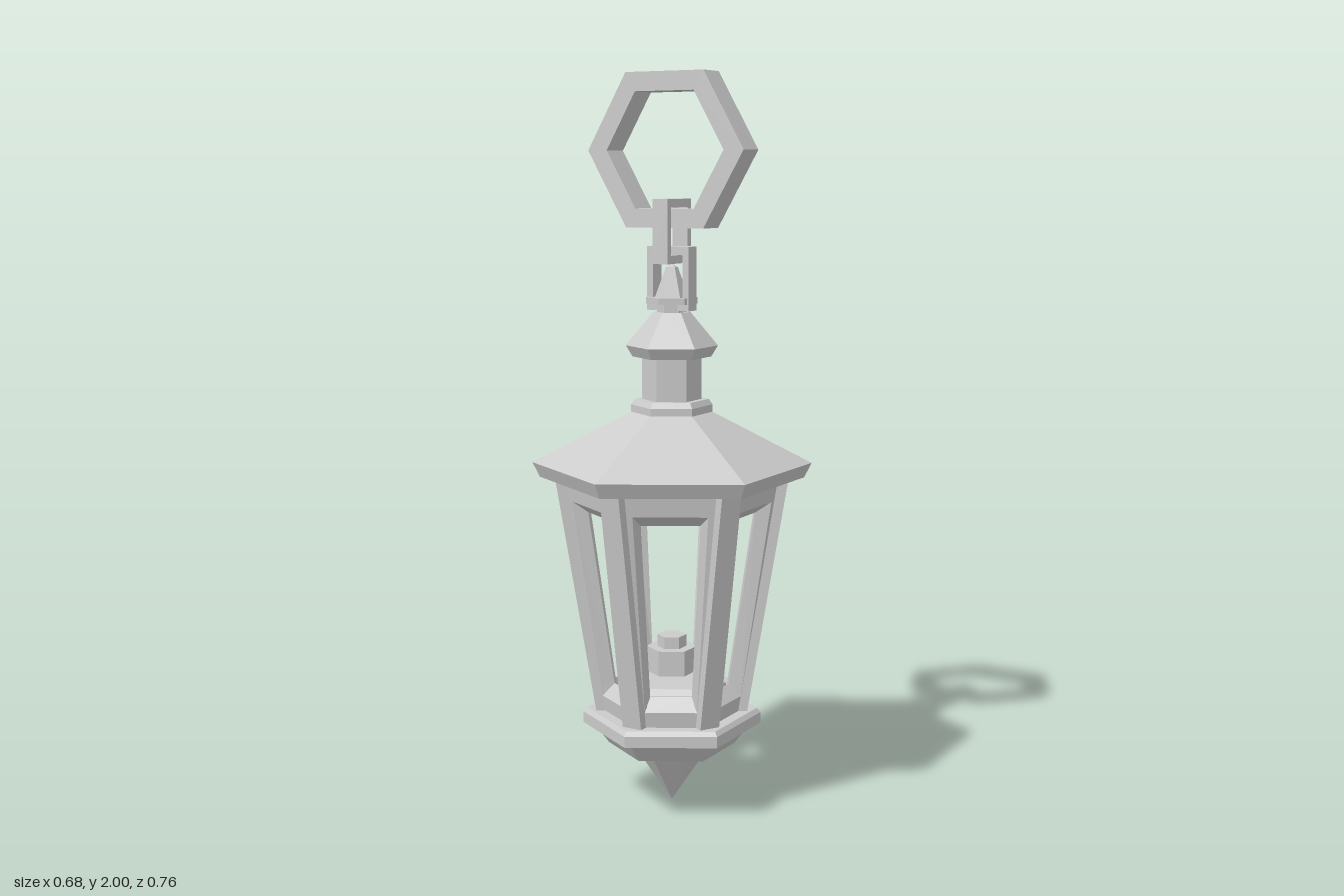
import * as THREE from 'three';

const material = new THREE.MeshStandardMaterial({ color: 0xcccccc, flatShading: true, side: THREE.DoubleSide });

function add(parent, name, geometry) {
  const mesh = new THREE.Mesh(geometry, material);
  mesh.name = name;
  parent.add(mesh);
  return mesh;
}

// Six-sided turned part from [radius, y] pairs listed bottom to top, a corner facing +z
const hexTurned = (pairs) => new THREE.LatheGeometry(pairs.map(([r, y]) => new THREE.Vector2(r, y)), 6);

// Flat loop of given thickness, cut from an outer and an inner outline
function loop(outer, inner, depth) {
  const shape = new THREE.Shape(outer);
  shape.holes.push(new THREE.Path(inner));
  return new THREE.ExtrudeGeometry(shape, { depth, bevelEnabled: false }).translate(0, 0, -depth / 2);
}

const hexagon = (r) => Array.from({ length: 6 }, (_, i) =>
  new THREE.Vector2(r * Math.cos(i * Math.PI / 3), r * Math.sin(i * Math.PI / 3)));

const rectangle = (w, h) => [[-w, -h], [w, -h], [w, h], [-w, h]].map(([x, y]) => new THREE.Vector2(x, y));

// Cage tapers: corner radius at a given height
const Y0 = 0.26, Y1 = 0.925;
const cageRadius = (y) => THREE.MathUtils.mapLinear(y, Y0, Y1, 0.2, 0.305);

// One cage side: nested four-corner loops give the face, the bevelled opening and the back
function windowPanel() {
  const ring = (y0, y1, w0, w1, depth) => [[-w0, y0], [w0, y0], [w1, y1], [-w1, y1]]
    .map(([x, y]) => [x, y, cageRadius(y) * 0.866 - depth]);
  const edge = (depth) => ring(Y0, Y1, cageRadius(Y0) / 2 - depth * 0.577, cageRadius(Y1) / 2 - depth * 0.577, depth);
  const rings = [
    edge(0),
    ring(0.31, 0.86, 0.07, 0.098, 0),
    ring(0.345, 0.83, 0.056, 0.078, 0.035),
    edge(0.05),
  ];
  const positions = [];
  for (let k = 0; k < rings.length - 1; k++) {
    for (let i = 0; i < 4; i++) {
      const j = (i + 1) % 4;
      const [a, b, c, d] = [rings[k][i], rings[k][j], rings[k + 1][j], rings[k + 1][i]];
      positions.push(...a, ...b, ...c, ...a, ...c, ...d);
    }
  }
  const geometry = new THREE.BufferGeometry();
  geometry.setAttribute('position', new THREE.Float32BufferAttribute(positions, 3));
  geometry.computeVertexNormals();
  return geometry;
}

export function createModel() {
  const model = new THREE.Group();
  model.name = 'hangingLantern';

  const lantern = new THREE.Group();
  lantern.name = 'lantern';
  lantern.rotation.y = -0.053;
  model.add(lantern);

  // Pointed drop and stepped base
  add(lantern, 'bottomSpike', hexTurned([[0, 0], [0.115, 0.17]]));
  add(lantern, 'base', hexTurned([[0, 0.165], [0.175, 0.165], [0.222, 0.225]]));
  add(lantern, 'baseRim', hexTurned([[0, 0.224], [0.247, 0.224], [0.247, 0.255], [0.237, 0.267], [0, 0.267]]));

  // Cage: six windows with a leaning post at every corner
  const panel = windowPanel();
  const low = 0.208, high = 0.317, rise = Y1 - Y0;
  const post = new THREE.BoxGeometry(0.058, Math.hypot(rise, high - low), 0.04)
    .translate(0, 0, -0.02)
    .rotateX(Math.atan2(high - low, rise))
    .translate(0, (Y0 + Y1) / 2, (low + high) / 2);
  for (let i = 0; i < 6; i++) {
    const angle = i * Math.PI / 3;
    add(lantern, 'windowFrame', panel).rotation.y = angle + Math.PI / 6;
    add(lantern, 'cornerPost', post).rotation.y = angle;
  }

  // Candle on its stepped stand
  add(lantern, 'candleStand', hexTurned([[0.15, 0.265], [0.15, 0.34], [0.13, 0.355], [0.12, 0.375], [0, 0.375]]));
  add(lantern, 'candle', hexTurned([[0.07, 0.37], [0.07, 0.445], [0.04, 0.445], [0.04, 0.478], [0, 0.478]]));

  // Roof with a sloped edge and closed ceiling
  add(lantern, 'roof', hexTurned([[0, 0.92], [0.36, 0.92], [0.38, 0.96], [0.11, 1.1], [0, 1.1]]));

  // Chimney, cap and finial
  add(lantern, 'collar', hexTurned([[0.11, 1.09], [0.11, 1.12], [0.1, 1.135], [0, 1.135]]));
  add(lantern, 'neck', hexTurned([[0.08, 1.13], [0.08, 1.26]]));
  add(lantern, 'cap', hexTurned([[0, 1.25], [0.106, 1.25], [0.124, 1.28], [0.05, 1.37], [0, 1.37]]));
  add(lantern, 'finial', hexTurned([
    [0.04, 1.365], [0.04, 1.393], [0.069, 1.393], [0.069, 1.41], [0.045, 1.41], [0.016, 1.49], [0, 1.5],
  ]));

  // Two chain links at right angles
  const chain = new THREE.Group();
  chain.name = 'chain';
  chain.rotation.y = -0.028;
  model.add(chain);
  const link = loop(rectangle(0.063, 0.085), rectangle(0.045, 0.063), 0.046);
  add(chain, 'lowerLink', link).position.y = 1.46;
  const upperLink = add(chain, 'upperLink', link);
  upperLink.position.y = 1.585;
  upperLink.rotation.y = Math.PI / 2;

  // Hexagonal hanging ring
  add(chain, 'hangingRing', loop(hexagon(0.234), hexagon(0.176), 0.084)).position.y = 1.797;

  return model;
}
